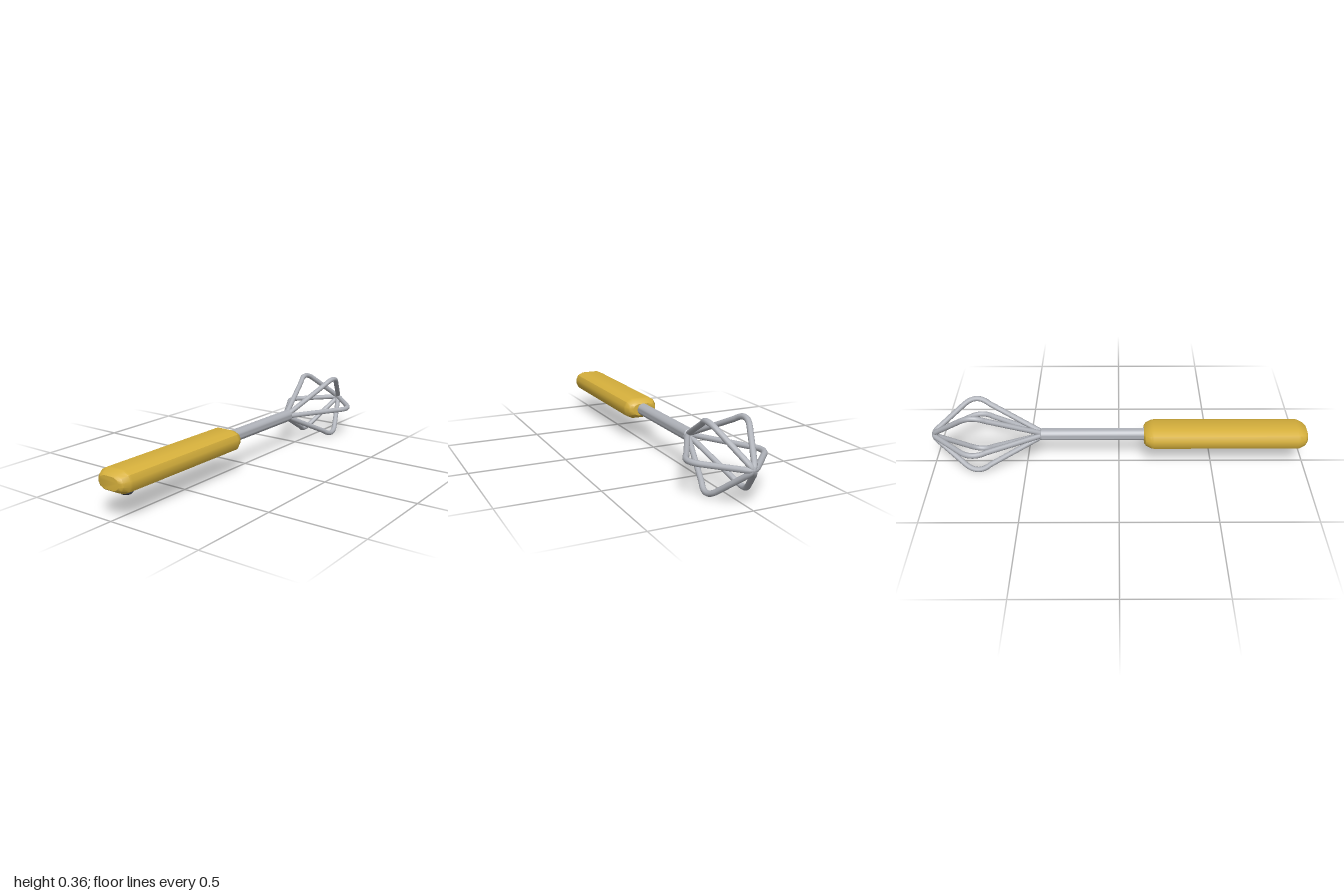
import * as THREE from 'three';
import { toCreasedNormals } from 'three/addons/utils/BufferGeometryUtils.js';

const AXIS_Y = 0.183;

// Skin a list of cross-section loops (counter-clockwise seen from +z, ordered towards +z), with end caps
function loft(loops) {
  const n = loops[0].length;
  const index = [];
  for (let i = 0; i < loops.length - 1; i++) {
    for (let j = 0; j < n; j++) {
      const a = i * n + j, b = i * n + (j + 1) % n;
      index.push(a, b, b + n, a, b + n, a + n);
    }
  }
  const last = (loops.length - 1) * n;
  for (let j = 1; j < n - 1; j++) {
    index.push(0, j + 1, j);
    index.push(last, last + j, last + j + 1);
  }
  const geometry = new THREE.BufferGeometry();
  geometry.setAttribute('position', new THREE.Float32BufferAttribute(loops.flat(2), 3));
  geometry.setIndex(index);
  return geometry;
}

export function createModel() {
  const model = new THREE.Group();
  model.name = 'whisk';
  const gold = new THREE.MeshStandardMaterial({ name: 'gold', color: 0xd6b03c });
  const steel = new THREE.MeshStandardMaterial({ name: 'steel', color: 0xb0b3ba });
  const dark = new THREE.MeshStandardMaterial({ name: 'dark grey', color: 0x3c4049 });

  const add = (name, geometry, material, y, z) => {
    const mesh = new THREE.Mesh(geometry, material);
    mesh.name = name;
    mesh.position.set(0, y, z);
    model.add(mesh);
    return mesh;
  };

  // Handle: faceted section, tapering at both ends
  const quarter = [[0.093, 0.014], [0.081, 0.039], [0.048, 0.055]];
  const half = [...quarter, ...quarter.map(([x, y]) => [-x, y]).reverse()];
  const section = [...half, ...half.map(([x, y]) => [-x, -y])];
  const stations = [ // z, width scale, height scale
    [0.133, 0.62, 0.58], [0.143, 0.82, 0.74], [0.172, 0.98, 0.98], [0.185, 1, 1],
    [0.945, 1, 1], [0.958, 0.98, 0.98], [0.988, 0.82, 0.74], [1.0, 0.62, 0.58],
  ];
  const loops = stations.map(([z, sx, sy]) => section.map(([x, y]) => [x * sx, y * sy, z]));
  add('handle', toCreasedNormals(loft(loops), 0.6), gold, AXIS_Y, 0);

  // Shaft with slightly bevelled ends
  const shaftProfile = [[0, -0.42], [0.027, -0.42], [0.033, -0.413], [0.033, 0.17], [0, 0.17]];
  const shaft = new THREE.LatheGeometry(shaftProfile.map(p => new THREE.Vector2(...p)), 24);
  shaft.rotateX(Math.PI / 2);
  add('shaft', toCreasedNormals(shaft, 0.6), steel, AXIS_Y, 0);

  // Button under the handle's end
  const buttonProfile = [[0, 0.105], [0.025, 0.105], [0.03, 0.111], [0.03, 0.14], [0, 0.14]];
  const button = new THREE.LatheGeometry(buttonProfile.map(p => new THREE.Vector2(...p)), 20);
  add('button', toCreasedNormals(button, 0.6), dark, 0, 0.895);

  // Whisk wires: three rounded diamond loops crossing at the tip
  const v = (x, z) => new THREE.Vector3(x, 0, z);
  const path = new THREE.CurvePath();
  const line = (a, b) => path.add(new THREE.LineCurve3(a, b));
  const bend = (a, b, c) => path.add(new THREE.QuadraticBezierCurve3(a, b, c));
  line(v(0.008, -0.405), v(0.164, -0.69));
  bend(v(0.164, -0.69), v(0.218, -0.755), v(0.164, -0.82));
  line(v(0.164, -0.82), v(0.032, -0.968));
  bend(v(0.032, -0.968), v(0.016, -0.986), v(0, -0.986));
  bend(v(0, -0.986), v(-0.016, -0.986), v(-0.032, -0.968));
  line(v(-0.032, -0.968), v(-0.164, -0.82));
  bend(v(-0.164, -0.82), v(-0.218, -0.755), v(-0.164, -0.69));
  line(v(-0.164, -0.69), v(-0.008, -0.405));
  const wire = new THREE.TubeGeometry(path, 96, 0.0145, 10, false);
  for (let i = 0; i < 3; i++) {
    add('wireLoop' + (i + 1), wire, steel, AXIS_Y, 0).rotation.z = i * Math.PI / 3;
  }
  return model;
}
